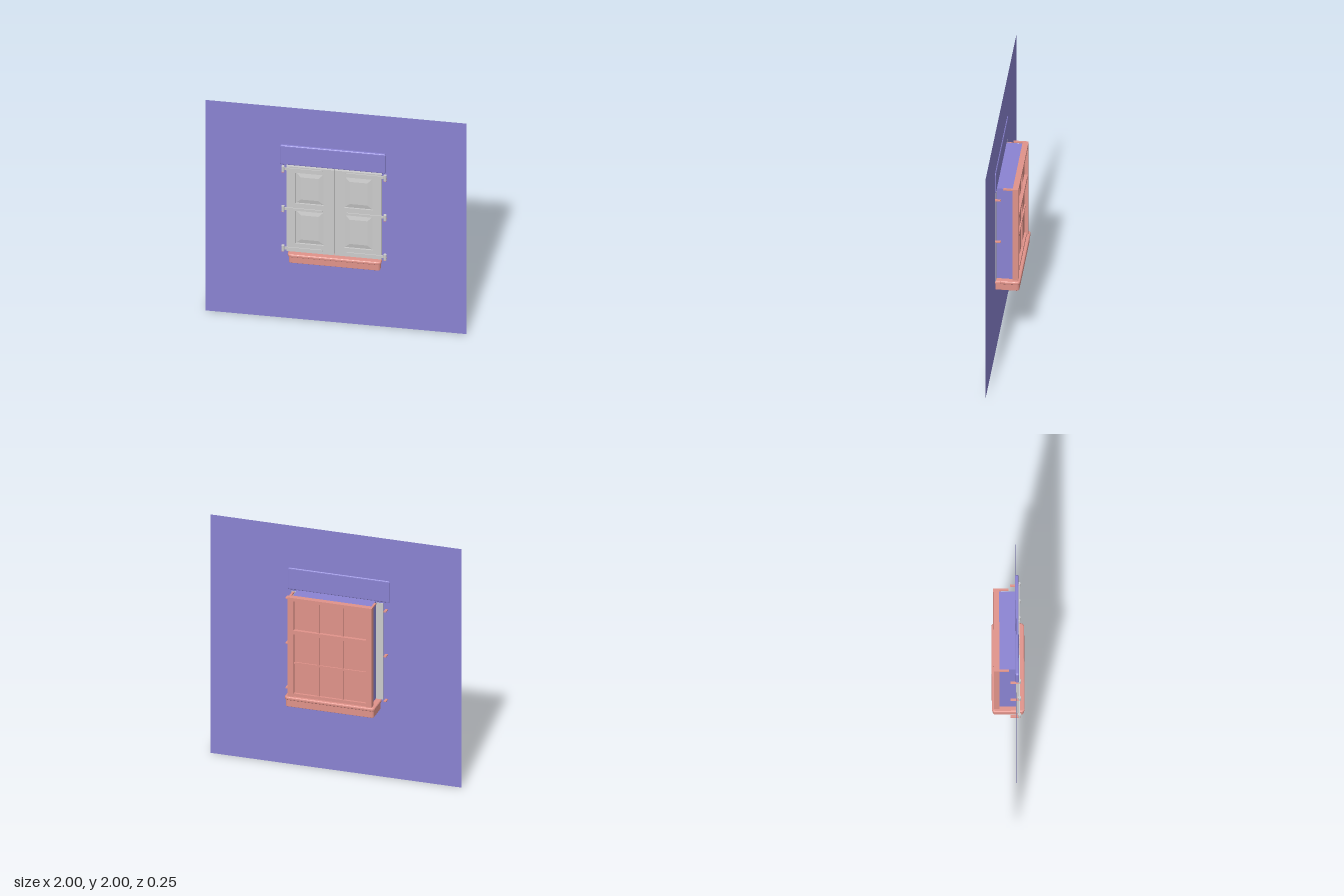
import * as THREE from 'three';

const purple = new THREE.MeshStandardMaterial({ color: 0x8a83d2, side: THREE.DoubleSide });
const salmon = new THREE.MeshStandardMaterial({ color: 0xe0938a });
const grey = new THREE.MeshStandardMaterial({ color: 0xcccccc });

const CX = -0.005;      // window centre line
const WALL_Z = 0.062;

function add(parent, name, geometry, material) {
  const mesh = new THREE.Mesh(geometry, material);
  mesh.name = name;
  parent.add(mesh);
  return mesh;
}

// Box given by its limits on each axis
function box(parent, name, material, x0, x1, y0, y1, z0, z1) {
  const mesh = add(parent, name, new THREE.BoxGeometry(x1 - x0, y1 - y0, z1 - z0), material);
  mesh.position.set((x0 + x1) / 2, (y0 + y1) / 2, (z0 + z1) / 2);
  return mesh;
}

// Closed rectangle, with rounded corners when r > 0
function rect(Type, x0, x1, y0, y1, r = 0) {
  const s = new Type();
  if (!r) return s.setFromPoints([[x0, y0], [x1, y0], [x1, y1], [x0, y1]].map(p => new THREE.Vector2(...p)));
  s.moveTo(x0 + r, y0);
  s.absarc(x1 - r, y0 + r, r, -Math.PI / 2, 0);
  s.absarc(x1 - r, y1 - r, r, 0, Math.PI / 2);
  s.absarc(x0 + r, y1 - r, r, Math.PI / 2, Math.PI);
  s.absarc(x0 + r, y0 + r, r, Math.PI, Math.PI * 1.5);
  return s;
}

// Horizontal slab with rounded corners in plan and soft edges
function slab(parent, name, halfX, halfZ, y0, y1, bevel) {
  const g = new THREE.ExtrudeGeometry(
    rect(THREE.Shape, -halfX + bevel, halfX - bevel, -halfZ + bevel, halfZ - bevel, 0.018),
    { depth: y1 - y0 - 2 * bevel, bevelThickness: bevel, bevelSize: bevel, bevelSegments: 3, curveSegments: 5 });
  g.rotateX(-Math.PI / 2);
  add(parent, name, g, salmon).position.set(CX, y0 + bevel, 0);
}

// One shutter leaf, built for the +x side with its inner edge at x = 0
function shutter(name) {
  const leaf = new THREE.Group();
  leaf.name = name;
  const w = 0.366, y0 = 0.65, y1 = 1.455;
  const rows = [[0.73, 1.04], [1.11, 1.4]];
  const outline = rect(THREE.Shape, 0.002, w, y0, y1);
  for (const [a, b] of rows) outline.holes.push(rect(THREE.Path, 0.08, 0.295, a, b));
  const frame = add(leaf, 'shutterFrame', new THREE.ExtrudeGeometry(outline, { depth: 0.012, bevelEnabled: false }), grey);
  frame.position.z = 0.07;
  box(leaf, 'shutterBacking', grey, 0.002, w, y0, y1, 0.058, 0.07);
  // raised panels with sloping borders
  for (const [a, b] of rows) {
    const g = new THREE.ExtrudeGeometry(rect(THREE.Shape, 0.12, 0.255, a + 0.04, b - 0.04),
      { depth: 0.001, bevelThickness: 0.008, bevelSize: 0.038, bevelSegments: 1 });
    add(leaf, 'raisedPanel', g, grey).position.z = 0.072;
  }
  // strap hinges, barrels and wall pins
  for (const y of [0.68, 1.055, 1.432]) {
    box(leaf, 'hingeStrap', grey, 0.1, 0.39, y - 0.011, y + 0.011, 0.081, 0.088);
    const tip = add(leaf, 'hingeStrapTip', new THREE.CylinderGeometry(0.011, 0.011, 0.007, 12), grey);
    tip.rotation.x = Math.PI / 2;
    tip.position.set(0.1, y, 0.0845);
    const barrel = add(leaf, 'hingeBarrel', new THREE.CylinderGeometry(0.012, 0.012, 0.05, 12), grey);
    barrel.position.set(0.392, y, 0.086);
    box(leaf, 'hingePin', salmon, 0.382, 0.402, y - 0.03, y - 0.022, 0.018, 0.095);
  }
  return leaf;
}

// Mirror a leaf across x, keeping faces outward
function mirror(group) {
  group.children.forEach(m => {
    m.geometry = m.geometry.clone().scale(-1, 1, 1);
    const index = m.geometry.index;
    const n = index ? index.count : m.geometry.attributes.position.count;
    const order = [];
    for (let i = 0; i < n; i += 3) {
      for (const k of [i, i + 2, i + 1]) order.push(index ? index.getX(k) : k);
    }
    m.geometry.setIndex(order);
    m.position.x *= -1;
  });
  return group;
}

export function createModel() {
  const model = new THREE.Group();
  model.name = 'shutteredWindow';

  // wall with the window opening
  const x0 = CX - 0.315, x1 = CX + 0.315, y0 = 0.645, y1 = 1.468;
  const wall = rect(THREE.Shape, -1, 1, 0, 2);
  wall.holes.push(rect(THREE.Path, x0, x1, y0, y1));
  add(model, 'wall', new THREE.ShapeGeometry(wall), purple).position.z = WALL_Z;

  // thin reveal lining the opening
  const depth = WALL_Z + 0.068;
  const midZ = WALL_Z - depth / 2;
  for (const x of [x0, x1]) {
    const side = add(model, 'revealSide', new THREE.PlaneGeometry(depth, y1 - y0), purple);
    side.rotation.y = Math.PI / 2;
    side.position.set(x, (y0 + y1) / 2, midZ);
  }
  for (const y of [y0, y1]) {
    const end = add(model, 'revealEnd', new THREE.PlaneGeometry(x1 - x0, depth), purple);
    end.rotation.x = Math.PI / 2;
    end.position.set(CX, y, midZ);
  }

  // lintel panel above the opening
  const lintel = new THREE.ExtrudeGeometry(rect(THREE.Shape, -0.42, 0.375, 1.475, 1.637, 0.006),
    { depth: 0.008, bevelThickness: 0.009, bevelSize: 0.01, bevelSegments: 3, curveSegments: 4 });
  add(model, 'lintel', lintel, purple).position.z = 0.064;

  // sill
  slab(model, 'sillLip', 0.36, 0.125, 0.622, 0.65, 0.01);
  slab(model, 'sillBase', 0.352, 0.118, 0.568, 0.63, 0.003);

  // window frame
  const frame = new THREE.Group();
  frame.name = 'windowFrame';
  model.add(frame);
  const L = CX - 0.335, R = CX + 0.335;
  box(frame, 'framePost', salmon, L, L + 0.045, 0.645, 1.478, -0.11, -0.066);
  box(frame, 'framePost', salmon, R - 0.045, R, 0.645, 1.478, -0.11, -0.066);
  box(frame, 'frameHead', salmon, L, R, 1.45, 1.478, -0.11, -0.066);
  box(frame, 'frameFoot', salmon, L, R, 0.645, 0.675, -0.1, -0.066);
  for (const x of [L, R - 0.016]) box(frame, 'headArm', salmon, x, x + 0.016, 1.466, 1.478, -0.068, 0.005);
  box(frame, 'headStrip', salmon, L + 0.016, R - 0.016, 1.456, 1.466, -0.068, -0.05);

  // sashes: panes, glazing bars and meeting rail
  const a = L + 0.045, b = R - 0.045;
  box(frame, 'panes', salmon, a, b, 0.67, 1.455, -0.082, -0.072);
  for (const t of [1 / 3, 2 / 3]) {
    const x = a + (b - a) * t;
    box(frame, 'verticalBar', salmon, x - 0.008, x + 0.008, 0.67, 1.455, -0.092, -0.066);
  }
  for (const y of [0.925]) box(frame, 'horizontalBar', salmon, a, b, y - 0.008, y + 0.008, -0.092, -0.066);
  box(frame, 'meetingRail', salmon, a, b, 1.175, 1.205, -0.108, -0.066);

  // shutters
  const left = shutter('leftShutter');
  const right = mirror(shutter('rightShutter'));
  left.position.x = right.position.x = -0.012;
  model.add(left, right);
  return model;
}
